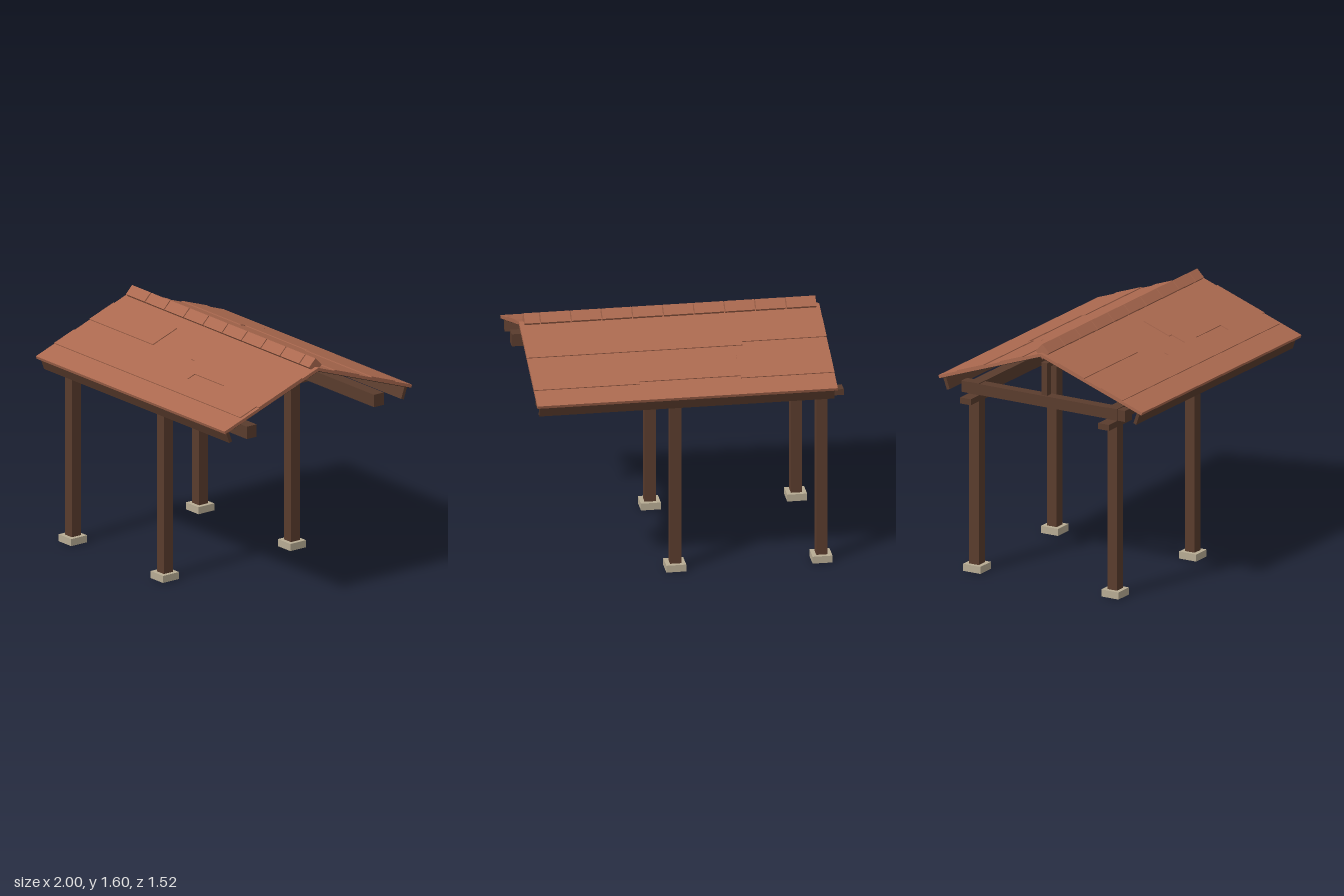
import * as THREE from 'three';

const material = (name, color) => {
  const m = new THREE.MeshStandardMaterial({ color });
  m.name = name;
  return m;
};

export function createModel() {
  const tile = material('terracotta', 0xab694f);
  const wood = material('darkTimber', 0x5a3c2d);
  const deckWood = material('deckTimber', 0x3b2a21);
  const stone = material('footingStone', 0xb8ac94);

  const model = new THREE.Group();
  model.name = 'carport';

  // Box given by its limits on each axis
  const box = (parent, name, mat, [x0, x1], [y0, y1], [z0, z1]) => {
    const mesh = new THREE.Mesh(new THREE.BoxGeometry(x1 - x0, y1 - y0, z1 - z0), mat);
    mesh.position.set((x0 + x1) / 2, (y0 + y1) / 2, (z0 + z1) / 2);
    mesh.name = name;
    parent.add(mesh);
    return mesh;
  };
  const around = (c, half) => [c - half, c + half];

  const frameX = [-0.86, 0.08];
  const postZ = 0.515;

  // Posts on stone footings, with saddle blocks on top
  for (const x of frameX) {
    for (const z of [-postZ, postZ]) {
      box(model, 'footing', stone, around(x, 0.064), [0.001, 0.048], around(z, 0.064));
      box(model, 'post', wood, around(x, 0.036), [0, 1.15], around(z, 0.036));
      box(model, 'saddleBlock', wood, around(x, 0.14), [1.14, 1.18], around(z, 0.04));
    }
    // Tie beam and king post of each frame
    box(model, 'tieBeam', wood, around(x, 0.036), [1.181, 1.254], [-0.61, 0.61]);
    box(model, 'kingPost', wood, around(x, 0.022), [1.25, 1.47], around(0, 0.022));
  }

  // Long plates carrying the roof
  for (const z of [-postZ, postZ])
    box(model, 'wallPlate', wood, [-0.9, 0.97], [1.175, 1.258], around(z, 0.039));

  // Raised tile courses: x from, x to, z from, z to
  const frontCourses = [
    [-0.93, -0.28, 0.13, 0.325],
    [0.11, 1, 0.13, 0.32],
    [0.14, 0.57, 0.32, 0.42],
    [0.57, 1, 0.32, 0.48],
    [-0.11, 0.27, 0.42, 0.61],
    [-0.93, -0.11, 0.45, 0.61],
    [0.27, 0.975, 0.48, 0.61],
  ];
  const backCourses = [
    [-0.385, 1, 0.13, 0.33],
    [-0.93, -0.385, 0.13, 0.3],
    [-0.93, -0.33, 0.42, 0.62],
    [0.32, 1, 0.43, 0.62],
    [-0.33, 0.32, 0.46, 0.6],
  ];

  // Roof slopes, each drawn flat from the ridge outwards and then tilted
  const pitch = 0.341;
  const cos = Math.cos(pitch);
  for (const side of [1, -1]) {
    const slope = new THREE.Group();
    slope.name = side > 0 ? 'frontRoofSlope' : 'backRoofSlope';
    slope.position.y = 1.545;
    slope.rotation.x = side * pitch;
    model.add(slope);
    const out = (a, b) => (side > 0 ? [a, b] : [-b, -a]);

    box(slope, 'roofTiles', tile, [-0.93, 1], [-0.02, 0], out(0, 0.806));
    box(slope, 'roofDeck', deckWood, [-0.925, 0.995], [-0.024, -0.02], out(0, 0.8));
    for (const [x0, x1, z0, z1] of side > 0 ? frontCourses : backCourses)
      box(slope, 'tileCourse', tile, [x0, x1], [-0.002, 0.006], out(z0 / cos, z1 / cos));
    box(slope, 'fascia', wood, [-0.915, 0.982], [-0.105, -0.024], out(0.764, 0.786));
  }

  // Diamond-section ridge caps, the last one cut short
  for (let i = 0; i < 10; i++) {
    const x = -0.905 + i * 0.1975;
    const cap = box(model, 'ridgeCap', tile, [x, Math.min(x + 0.19, 0.97)], [1.514, 1.586], [-0.036, 0.036]);
    cap.rotation.x = Math.PI / 4;
  }

  return model;
}
